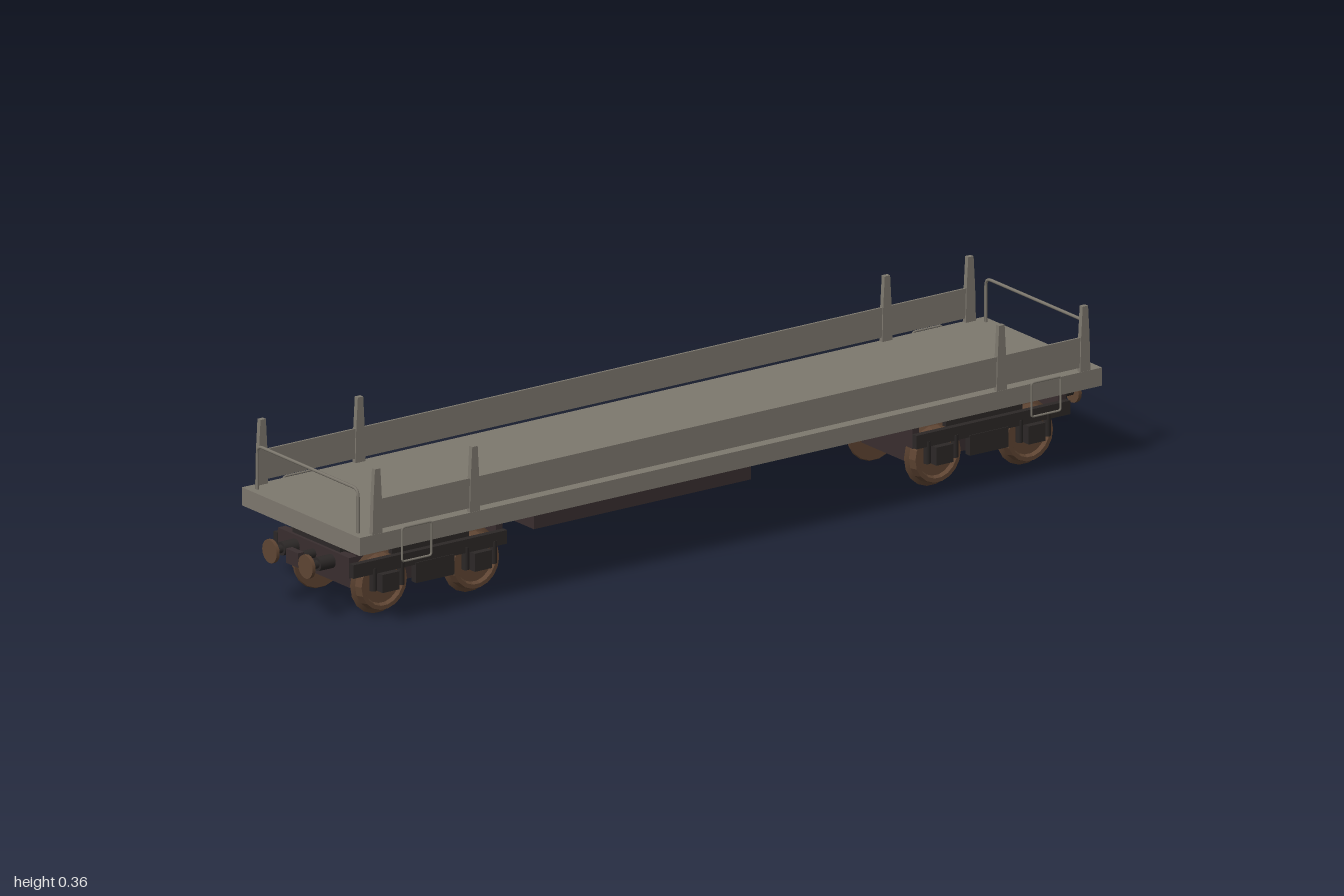
import * as THREE from 'three';
import { toCreasedNormals } from 'three/addons/utils/BufferGeometryUtils.js';

const mat = (name, color) => {
  const m = new THREE.MeshStandardMaterial({ color });
  m.name = name;
  return m;
};

export function createModel() {
  const grey = mat('weathered grey', 0x7d786e);
  const dark = mat('underframe dark brown', 0x392e2f);
  const black = mat('running gear black', 0x2c2827);
  const rust = mat('rusty wheel brown', 0x5f4533);

  const model = new THREE.Group();
  model.name = 'flatWagon';

  const add = (parent, name, geo, material, x = 0, y = 0, z = 0) => {
    const m = new THREE.Mesh(geo, material);
    m.name = name;
    m.position.set(x, y, z);
    parent.add(m);
    return m;
  };
  // Box given by its limits on each axis
  const box = (parent, name, material, [x0, x1], [y0, y1], [z0, z1]) =>
    add(parent, name, new THREE.BoxGeometry(x1 - x0, y1 - y0, z1 - z0), material,
      (x0 + x1) / 2, (y0 + y1) / 2, (z0 + z1) / 2);
  // Cylinder lying along z
  const rod = (parent, name, material, r, x, y, z0, z1) => {
    const m = add(parent, name, new THREE.CylinderGeometry(r, r, z1 - z0, 16), material, x, y, (z0 + z1) / 2);
    m.rotation.x = Math.PI / 2;
    return m;
  };
  // Bent bar through points with rounded corners
  const bar = (parent, name, pts, bend, r, closed = false) => {
    const path = new THREE.CurvePath();
    const v = pts.map(p => new THREE.Vector3(...p));
    const n = v.length;
    const toward = (a, b) => a.clone().add(b.clone().sub(a).setLength(bend));
    let from = closed ? toward(v[0], v[1]) : v[0];
    for (let i = 1; i < (closed ? n + 1 : n - 1); i++) {
      const c = v[i % n], a = toward(c, v[i - 1]), b = toward(c, v[(i + 1) % n]);
      path.add(new THREE.LineCurve3(from, a));
      path.add(new THREE.QuadraticBezierCurve3(a, c, b));
      from = b;
    }
    if (!closed) path.add(new THREE.LineCurve3(from, v[n - 1]));
    return add(parent, name, new THREE.TubeGeometry(path, 80, r, 6, closed), grey);
  };

  // Deck and the equipment box below it
  box(model, 'deck', grey, [-0.21, 0.21], [0.178, 0.218], [-0.965, 0.965]);
  box(model, 'underfloorBox', dark, [-0.127, 0.127], [0.115, 0.178], [-0.113, 0.452]);

  // Tapered stake profile, drawn along z and y
  const stakeShape = new THREE.Shape([[-0.013, 0], [0.013, 0], [0.011, 0.075], [0.007, 0.144], [-0.007, 0.144], [-0.011, 0.075]]
    .map(p => new THREE.Vector2(...p)));
  const stakeGeo = new THREE.ExtrudeGeometry(stakeShape, { depth: 0.011, bevelEnabled: false });
  stakeGeo.translate(0, 0, -0.0055).rotateY(Math.PI / 2);

  for (const s of [1, -1]) {
    const side = new THREE.Group();
    side.name = s > 0 ? 'leftSide' : 'rightSide';
    model.add(side);
    const x = s * 0.204;
    add(side, 'sideBoard', new THREE.BoxGeometry(0.005, 0.066, 1.85), grey, x, 0.26, 0);
    for (const z of [0.918, 0.665, -0.705, -0.922]) add(side, 'stake', stakeGeo, grey, x, 0.218, z);
    // Shunter's step loops
    for (const z of [0.818, -0.818]) {
      const X = s * 0.2115, a = z - 0.038, b = z + 0.038;
      bar(side, 'stepLoop', [[X, 0.22, a], [X, 0.145, a], [X, 0.145, b], [X, 0.22, b]], 0.006, 0.0025, true);
    }
  }

  // End hand rails
  for (const z of [0.947, -0.947])
    bar(model, 'endRail', [[-0.18, 0.216, z], [-0.18, 0.315, z], [0.18, 0.315, z], [0.18, 0.216, z]], 0.018, 0.0035);

  // Wheel profile: flange inside, tread outside, recessed face and axle end
  const wheelGeo = toCreasedNormals(new THREE.LatheGeometry([
    [0, 0.1], [0.07, 0.1], [0.072, 0.103], [0.063, 0.108], [0.059, 0.126], [0.05, 0.126],
    [0.046, 0.117], [0.02, 0.117], [0.016, 0.13], [0, 0.13],
  ].map(p => new THREE.Vector2(...p)), 18), 0.3);

  // Bogie with its outer end toward +z, centred on its pivot
  const makeBogie = () => {
    const g = new THREE.Group();
    g.name = 'bogie';
    add(g, 'turntable', new THREE.CylinderGeometry(0.067, 0.067, 0.02, 24), black, 0, 0.169, 0);
    box(g, 'topFrame', black, [-0.085, 0.085], [0.14, 0.163], [-0.19, 0.205]);
    box(g, 'centreBox', dark, [-0.085, 0.085], [0.053, 0.14], [-0.165, 0.165]);
    box(g, 'headstock', dark, [-0.127, 0.127], [0.1, 0.145], [0.192, 0.212]);
    box(g, 'innerCrossbeam', dark, [-0.127, 0.127], [0.1, 0.145], [-0.187, -0.17]);

    for (const s of [1, -1]) {
      const side = new THREE.Group();
      side.name = 'bogieSide';
      g.add(side);
      add(side, 'sideFrame', new THREE.BoxGeometry(0.014, 0.03, 0.4), black, s * 0.135, 0.118, 0.012);
      add(side, 'springBeam', new THREE.BoxGeometry(0.016, 0.045, 0.1), black, s * 0.136, 0.085, 0);
      add(side, 'upperBeam', new THREE.BoxGeometry(0.012, 0.024, 0.2), black, s * 0.12, 0.143, 0);
      for (const z of [0.12, -0.12]) {
        const wheel = add(side, 'wheel', wheelGeo, rust, 0, 0.072, z);
        wheel.rotation.z = -s * Math.PI / 2;
        add(side, 'axleBox', new THREE.BoxGeometry(0.022, 0.04, 0.044), black, s * 0.139, 0.08, z);
        for (const d of [0.036, -0.036])
          add(side, 'axleSpring', new THREE.CylinderGeometry(0.008, 0.008, 0.05, 10), black, s * 0.136, 0.09, z + d);
      }
      // Buffers
      rod(side, 'bufferSleeve', black, 0.015, s * 0.064, 0.122, 0.21, 0.25);
      rod(side, 'bufferShaft', black, 0.009, s * 0.064, 0.122, 0.25, 0.273);
      rod(side, 'bufferHead', rust, 0.026, s * 0.064, 0.122, 0.272, 0.28);
    }
    for (const z of [0.12, -0.12]) {
      const axle = add(g, 'axle', new THREE.CylinderGeometry(0.012, 0.012, 0.21, 10), rust, 0, 0.072, z);
      axle.rotation.z = Math.PI / 2;
    }
    // Coupler
    rod(g, 'couplerShank', black, 0.01, 0, 0.122, 0.21, 0.256);
    box(g, 'couplerHead', dark, [-0.021, 0.021], [0.106, 0.138], [0.252, 0.268]);
    return g;
  };

  for (const s of [1, -1]) {
    const bogie = makeBogie();
    bogie.name = s > 0 ? 'frontBogie' : 'rearBogie';
    bogie.position.z = s * 0.72;
    if (s < 0) bogie.rotation.y = Math.PI;
    model.add(bogie);
  }
  return model;
}
